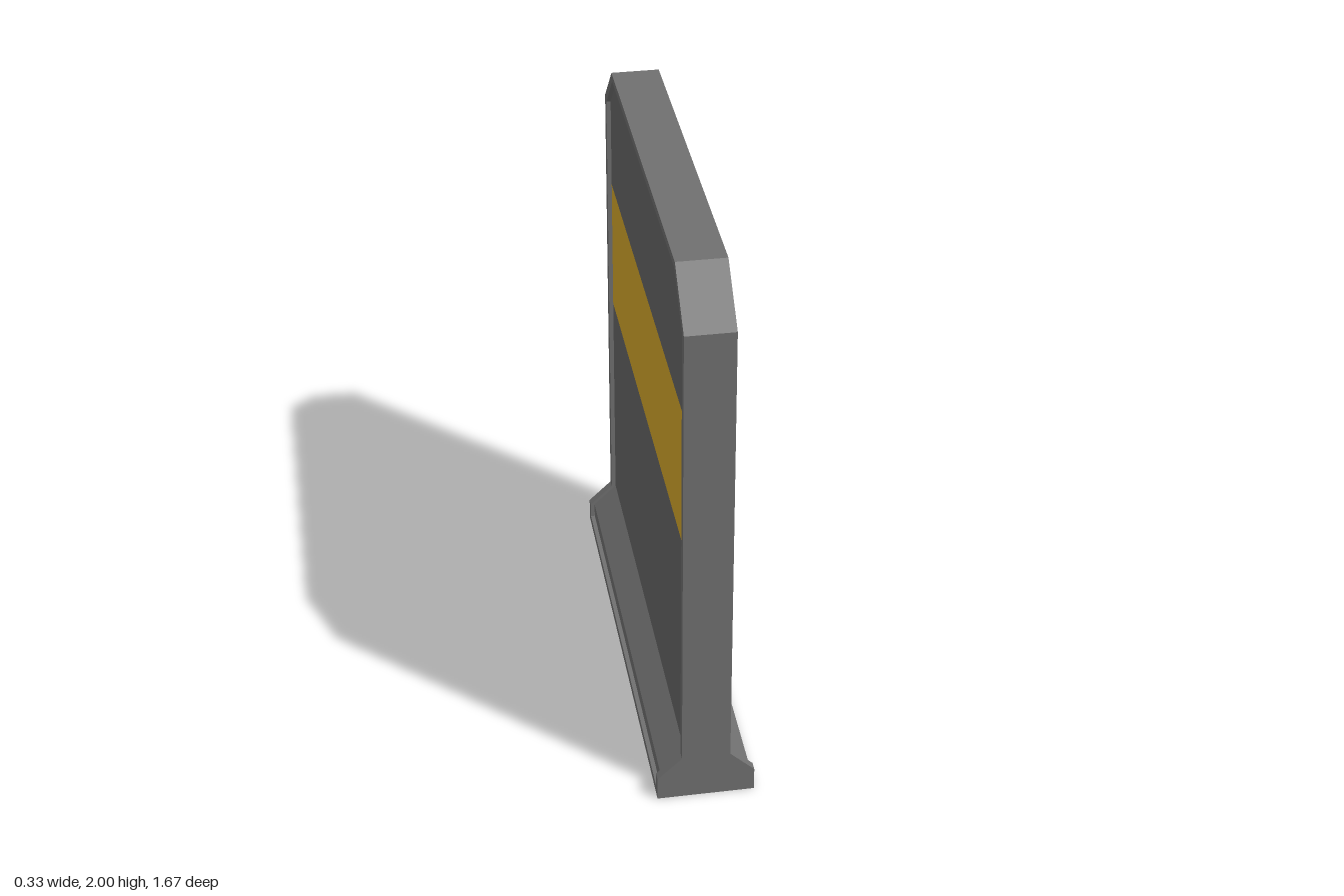
import * as THREE from 'three';

const frameMat = new THREE.MeshStandardMaterial({ color: 0x707070, flatShading: true });
const panelMat = new THREE.MeshStandardMaterial({ color: 0x666666, flatShading: true });
const stripeMat = new THREE.MeshStandardMaterial({ color: 0xd6a82b, flatShading: true });

const HALF_Z = 0.835, INNER_Z = 0.803;   // outer half width, recess half width
const WALL_X = 0.083, FOOT_X = 0.167;    // half thickness of wall and foot
const RECESS = 0.015;                    // depth of the recess on each face
const FOOT_Y = 0.165, SHOULDER_Y = 0.085, LIP_Y = 0.03;

const polygon = (points) => new THREE.Shape(points.map(([x, y]) => new THREE.Vector2(x, y)));

// Extrude a polygon centred on its depth axis
function prism(points, depth) {
  const g = new THREE.ExtrudeGeometry(polygon(points), { depth, bevelEnabled: false });
  return g.translate(0, 0, -depth / 2);
}

export function createModel() {
  const model = new THREE.Group();
  model.name = 'barrierWall';

  const add = (name, geometry, material) => {
    const mesh = new THREE.Mesh(geometry, material);
    mesh.name = name;
    model.add(mesh);
    return mesh;
  };
  const box = (name, w, y0, y1, d, material) =>
    add(name, new THREE.BoxGeometry(w, y1 - y0, d).translate(0, (y0 + y1) / 2, 0), material);
  // Outline drawn in the z-y plane, thickness along x
  const slab = (name, points, thickness, material) =>
    add(name, prism(points, thickness).rotateY(Math.PI / 2), material);

  // Raised border: an arch with chamfered top corners
  slab('frame', [
    [-HALF_Z, FOOT_Y], [-INNER_Z, FOOT_Y], [-INNER_Z, 1.823], [-0.653, 1.973],
    [0.653, 1.973], [INNER_Z, 1.823], [INNER_Z, FOOT_Y], [HALF_Z, FOOT_Y],
    [HALF_Z, 1.835], [0.667, 2], [-0.667, 2], [-HALF_Z, 1.835],
  ], WALL_X * 2, frameMat);

  // Recessed panel with a coloured band across both faces
  const panelW = (WALL_X - RECESS) * 2;
  box('lowerPanel', panelW, FOOT_Y, 0.99, INNER_Z * 2, panelMat);
  box('stripe', panelW, 0.99, 1.49, INNER_Z * 2, stripeMat);
  slab('upperPanel', [
    [-INNER_Z, 1.49], [INNER_Z, 1.49], [INNER_Z, 1.823],
    [0.653, 1.973], [-0.653, 1.973], [-INNER_Z, 1.823],
  ], panelW, panelMat);

  // Flared foot: recessed middle, full-profile end caps, bottom lip
  const footProfile = (inset, bottom) => [
    [-FOOT_X + inset, bottom], [FOOT_X - inset, bottom], [FOOT_X - inset, SHOULDER_Y],
    [WALL_X - inset, FOOT_Y], [-WALL_X + inset, FOOT_Y], [-FOOT_X + inset, SHOULDER_Y],
  ];
  add('footMiddle', prism(footProfile(RECESS, LIP_Y), INNER_Z * 2), frameMat);
  box('footLip', FOOT_X * 2, 0, LIP_Y, INNER_Z * 2, frameMat);
  for (const side of [-1, 1]) {
    const cap = add(side > 0 ? 'frontFootCap' : 'backFootCap',
      prism(footProfile(0, 0), HALF_Z - INNER_Z), frameMat);
    cap.position.z = side * (HALF_Z + INNER_Z) / 2;
  }

  return model;
}
